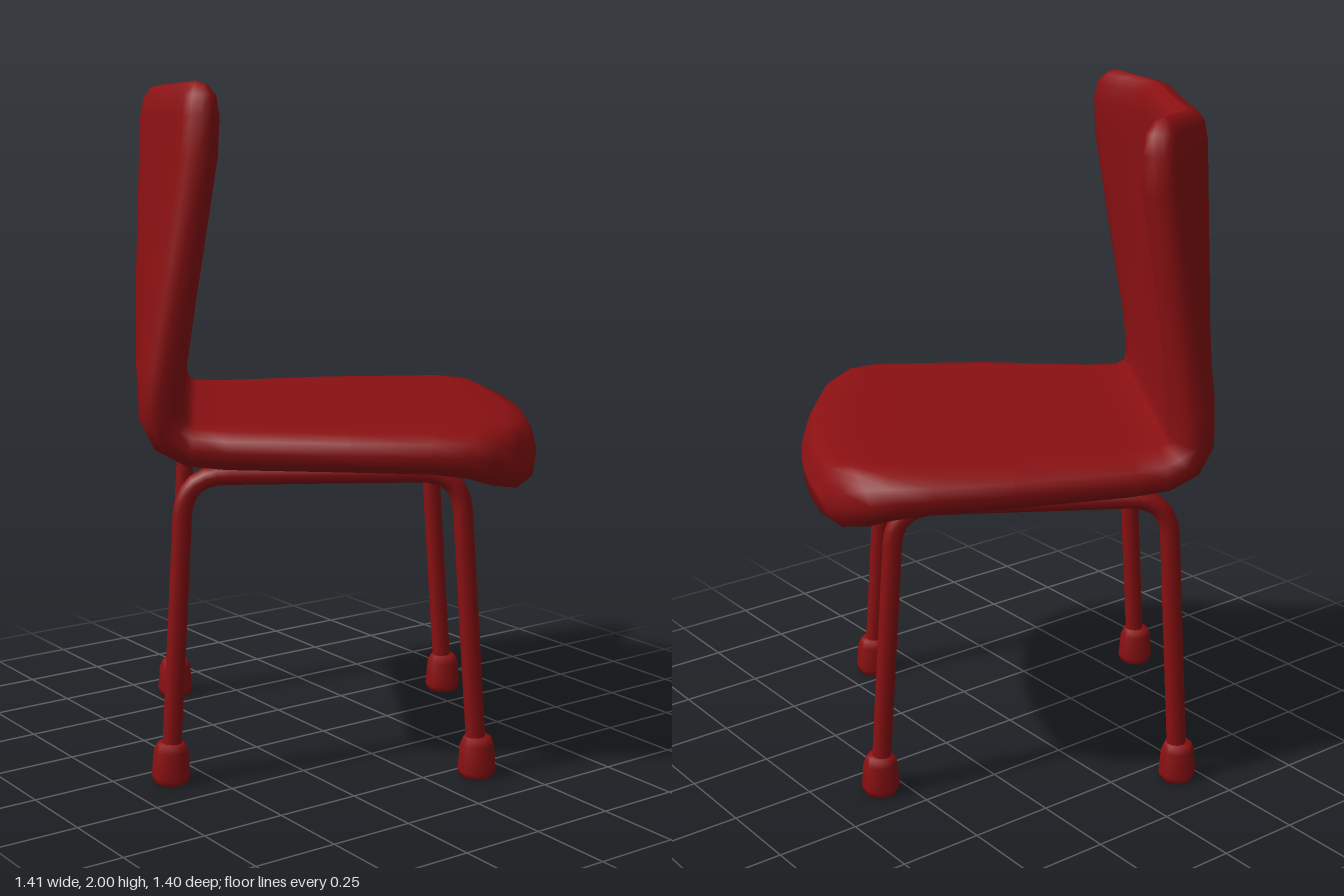
import * as THREE from 'three';

const red = new THREE.MeshStandardMaterial({ color: 0x8a1012 });

const mesh = (name, geometry) => {
  const m = new THREE.Mesh(geometry, red);
  m.name = name;
  return m;
};

// Cross-sections along the J-shaped centreline, from the front lip to the top of the back:
// [z, y, half width, half thickness, wing curl, edge sweep]
const sections = [
  [0.632, 0.938, 0.4, 0, 0, 0.35],
  [0.622, 0.937, 0.45, 0.05, 0, 0.35],
  [0.59, 0.935, 0.52, 0.085, 0, 0.33],
  [0.53, 0.945, 0.57, 0.09, 0, 0.3],
  [0.45, 0.965, 0.583, 0.078, 0, 0.25],
  [0.3, 0.98, 0.585, 0.066, 0, 0.1],
  [0.04, 0.985, 0.57, 0.063, 0, 0],
  [-0.3, 0.985, 0.512, 0.063, 0, 0],
  [-0.4, 0.992, 0.495, 0.063, 0, 0],
  [-0.455, 1.022, 0.495, 0.063, 0, 0],
  [-0.484, 1.08, 0.505, 0.065, 0.005, 0],
  [-0.49, 1.2, 0.518, 0.065, 0.02, 0],
  [-0.487, 1.5, 0.526, 0.063, 0.07, 0],
  [-0.477, 1.8, 0.538, 0.06, 0.11, 0.02],
  [-0.474, 1.9, 0.528, 0.058, 0.115, 0.05],
  [-0.472, 1.95, 0.505, 0.05, 0.115, 0.08],
  [-0.471, 1.978, 0.465, 0.03, 0.115, 0.09],
  [-0.471, 1.985, 0.43, 0, 0.115, 0.09],
];

// Rounded-end cross-section: flat faces joined by elliptical edges
function ringProfile(w, t) {
  const e = Math.min(w, t * 1.5), flat = w - e, pts = [];
  const arc = 6, span = 14;
  for (const s of [1, -1]) {
    for (let i = 0; i <= arc; i++) {
      const a = -Math.PI / 2 + (i / arc) * Math.PI;
      pts.push([s * (flat + e * Math.cos(a)), s * t * Math.sin(a)]);
    }
    for (let i = 1; i < span; i++) pts.push([s * flat * (1 - (2 * i) / span), s * t]);
  }
  return pts;
}

// Seat and back as one lofted shell
function shellGeometry() {
  const pos = [], index = [];
  let n = 0;
  sections.forEach(([z, y, w, t, curl, sweep], i) => {
    const p = sections[Math.max(i - 1, 0)], q = sections[Math.min(i + 1, sections.length - 1)];
    const len = Math.hypot(q[0] - p[0], q[1] - p[1]);
    const tz = (q[0] - p[0]) / len, ty = (q[1] - p[1]) / len;
    const ring = ringProfile(w, t);
    n = ring.length;
    for (const [u, h] of ring) {
      const d = h + curl * THREE.MathUtils.smoothstep(Math.abs(u), 0.22, 0.5);
      const s = sweep * u * u;
      pos.push(u, y - tz * d + ty * s, z + ty * d + tz * s);
    }
  });
  for (let i = 0; i < sections.length - 1; i++) {
    for (let j = 0; j < n; j++) {
      const a = i * n + j, b = i * n + ((j + 1) % n);
      index.push(a, a + n, b, b, a + n, b + n);
    }
  }
  const g = new THREE.BufferGeometry();
  g.setAttribute('position', new THREE.Float32BufferAttribute(pos, 3));
  g.setIndex(index);
  g.computeVertexNormals();
  return g;
}

// Inverted U tube: rear leg, rail under the seat, front leg
function legFrameGeometry(x) {
  const v = (y, z) => new THREE.Vector3(x, y, z);
  const path = new THREE.CurvePath();
  path.add(new THREE.LineCurve3(v(0.06, -0.466), v(0.79, -0.425)));
  path.add(new THREE.QuadraticBezierCurve3(v(0.79, -0.425), v(0.905, -0.418), v(0.905, -0.3)));
  path.add(new THREE.LineCurve3(v(0.905, -0.3), v(0.905, 0.25)));
  path.add(new THREE.QuadraticBezierCurve3(v(0.905, 0.25), v(0.905, 0.368), v(0.79, 0.375)));
  path.add(new THREE.LineCurve3(v(0.79, 0.375), v(0.06, 0.423)));
  return new THREE.TubeGeometry(path, 72, 0.029, 10);
}

// Faceted rubber foot
function footGeometry() {
  const profile = [[0, 0.015], [0.03, 0.015], [0.036, 0], [0.05, 0], [0.056, 0.02], [0.05, 0.095], [0.04, 0.118], [0, 0.122]];
  return new THREE.LatheGeometry(profile.map(([r, y]) => new THREE.Vector2(r, y)), 8);
}

export function createModel() {
  const model = new THREE.Group();
  model.name = 'chair';

  const chair = new THREE.Group();
  chair.name = 'turnedChair';
  chair.rotation.y = THREE.MathUtils.degToRad(148);
  model.add(chair);

  chair.add(mesh('seatAndBack', shellGeometry()));

  const foot = footGeometry();
  for (const side of [1, -1]) {
    chair.add(mesh('legFrame', legFrameGeometry(side * 0.407)));
    for (const z of [-0.467, 0.424]) {
      const f = mesh('foot', foot);
      f.position.set(side * 0.407, 0, z);
      chair.add(f);
    }
  }
  return model;
}
